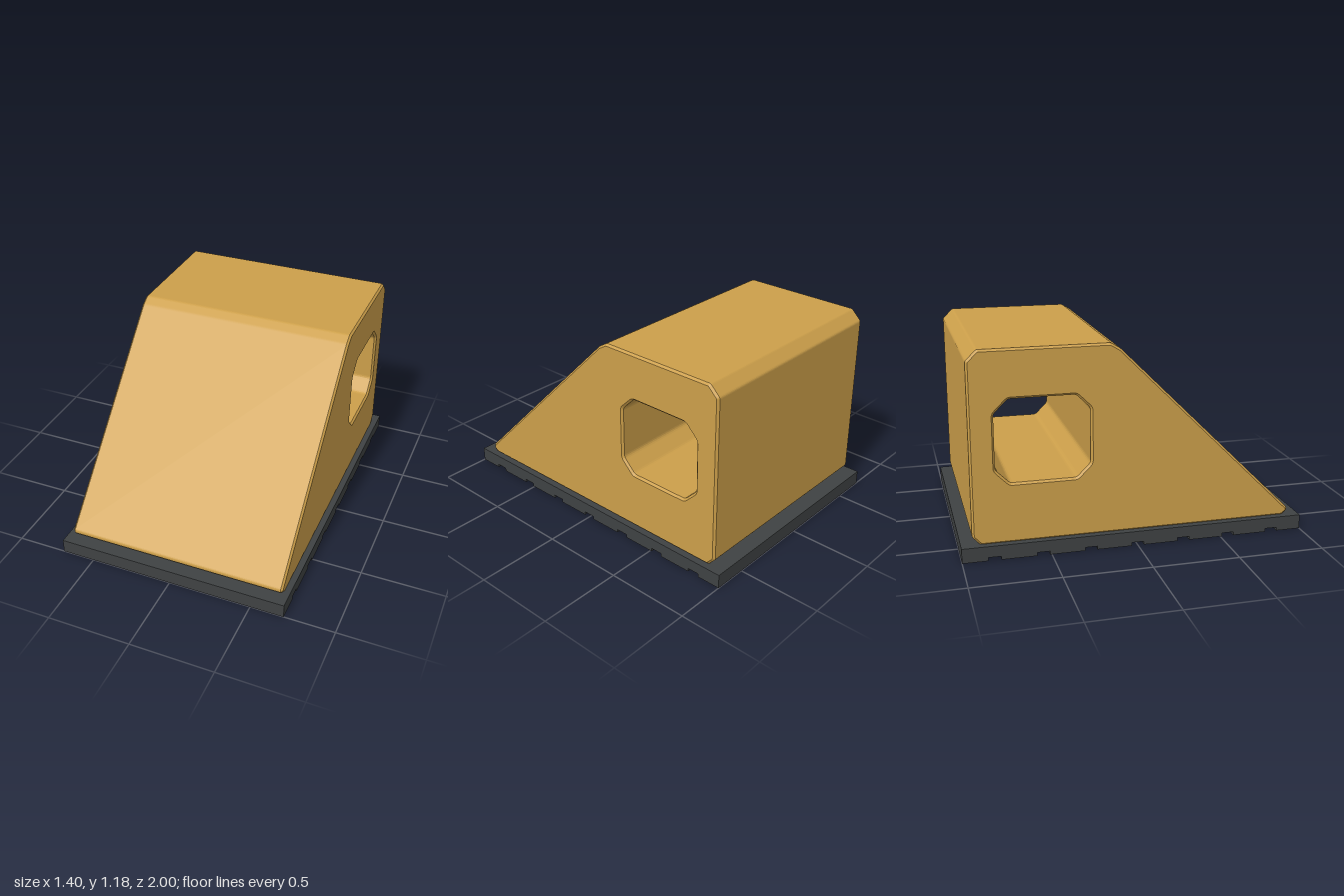
import * as THREE from 'three';

const BODY_COLOR = 0xcc9f4a;
const BASE_COLOR = 0x3f4243;

// Trace a closed outline of [z, y] points, softening each corner by radius r
function trace(path, points, r) {
  const pts = points.map(([z, y]) => new THREE.Vector2(z, y));
  const n = pts.length;
  pts.forEach((p, i) => {
    const a = pts[(i + n - 1) % n], b = pts[(i + 1) % n];
    const from = p.clone().add(a.clone().sub(p).setLength(r));
    const to = p.clone().add(b.clone().sub(p).setLength(r));
    if (i === 0) path.moveTo(from.x, from.y);
    else path.lineTo(from.x, from.y);
    path.quadraticCurveTo(p.x, p.y, to.x, to.y);
  });
  path.closePath();
  return path;
}

// Rectangle with chamfered corners
function chamferedRect(z0, z1, y0, y1, c) {
  return [
    [z0 + c, y0], [z1 - c, y0], [z1, y0 + c], [z1, y1 - c],
    [z1 - c, y1], [z0 + c, y1], [z0, y1 - c], [z0, y0 + c],
  ];
}

// Extrude a side profile across the width, centred on x = 0
function extrudeAcross(name, shape, width, bevel, color) {
  const geometry = new THREE.ExtrudeGeometry(shape, {
    depth: width - 2 * bevel,
    curveSegments: 3,
    bevelEnabled: bevel > 0,
    bevelThickness: bevel,
    bevelSize: bevel,
    bevelOffset: -bevel,
    bevelSegments: 1,
  });
  geometry.translate(0, 0, bevel - width / 2);
  geometry.rotateY(-Math.PI / 2);
  const mesh = new THREE.Mesh(geometry, new THREE.MeshStandardMaterial({ color }));
  mesh.name = name;
  return mesh;
}

export function createModel() {
  const group = new THREE.Group();
  group.name = 'wedgeBlock';

  // Wedge body with a chamfered opening running through its width
  const profile = trace(new THREE.Shape(), [
    [-0.89, 0.08], [0.9, 0.08], [0.932, 0.105], [0.932, 0.125],
    [-0.095, 1.145], [-0.15, 1.178], [-0.875, 1.178],
    [-0.936, 1.118], [-0.936, 0.13],
  ], 0.009);
  profile.holes.push(
    trace(new THREE.Path(), chamferedRect(-0.797, -0.264, 0.428, 0.902, 0.08).reverse(), 0.015));
  group.add(extrudeAcross('wedgeBody', profile, 1.33, 0.012, BODY_COLOR));

  // Base plate with grooves cut across its underside
  const base = new THREE.Shape();
  const half = 0.036, depth = 0.02;
  base.moveTo(-1, 0);
  for (let i = -3; i <= 3; i++) {
    const z = i * 0.273;
    base.lineTo(z - half, 0);
    base.lineTo(z - half, depth);
    base.lineTo(z + half, depth);
    base.lineTo(z + half, 0);
  }
  base.lineTo(1, 0);
  base.lineTo(1, 0.085);
  base.lineTo(-1, 0.085);
  base.closePath();
  group.add(extrudeAcross('basePlate', base, 1.4, 0, BASE_COLOR));

  return group;
}
